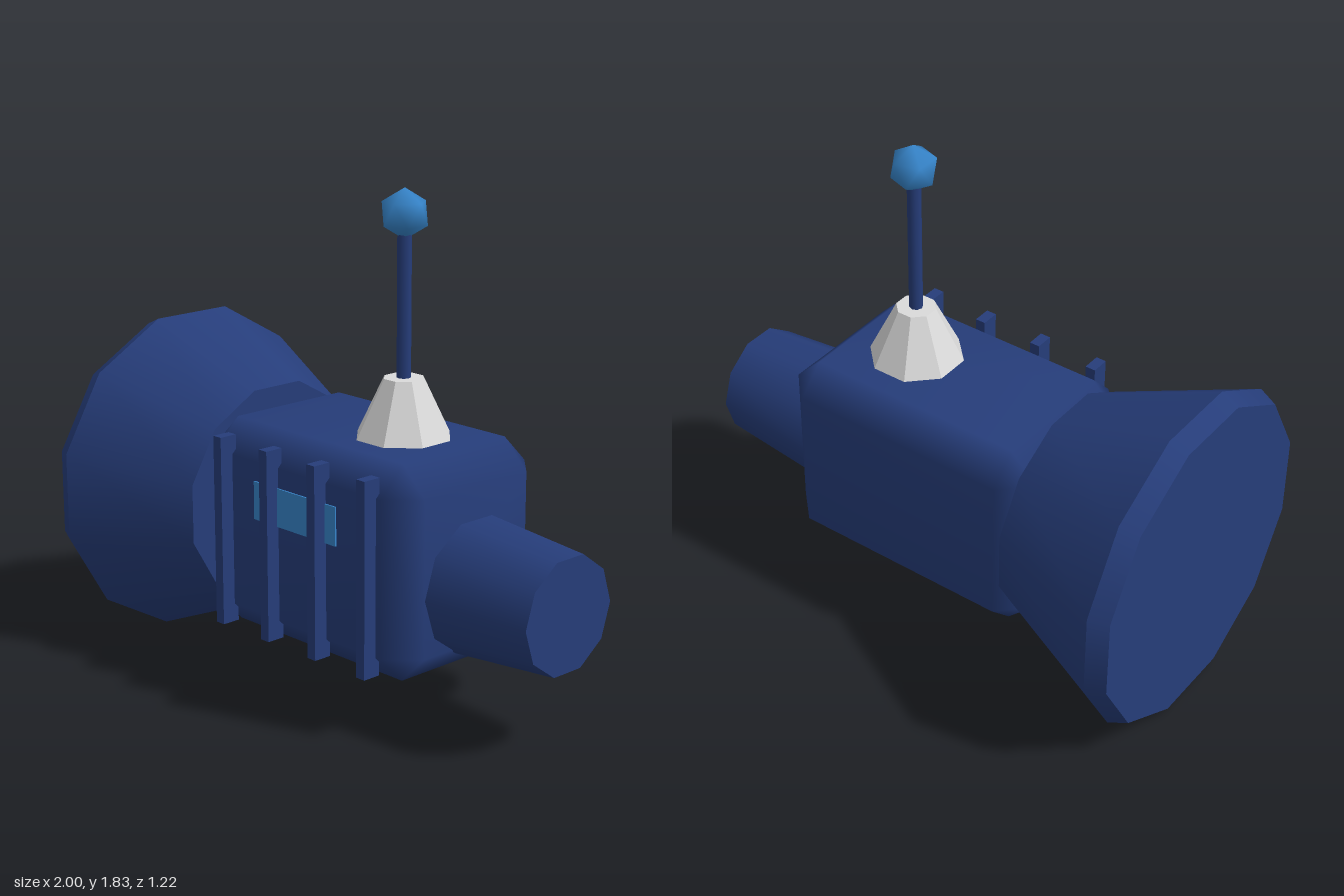
import * as THREE from 'three';
import { mergeVertices } from 'three/addons/utils/BufferGeometryUtils.js';
import { ConvexGeometry } from 'three/addons/geometries/ConvexGeometry.js';

const navy = new THREE.MeshStandardMaterial({ color: 0x263d7a });
navy.name = 'navy';
const skyBlue = new THREE.MeshStandardMaterial({ color: 0x3786cc });
skyBlue.name = 'skyBlue';
const paleGrey = new THREE.MeshStandardMaterial({ color: 0xdadada });
paleGrey.name = 'paleGrey';

// Convex solid with smooth normals
function smoothHull(points) {
  const g = new ConvexGeometry(points);
  g.deleteAttribute('normal');
  const merged = mergeVertices(g, 1e-4);
  merged.computeVertexNormals();
  return merged;
}

// Box with every edge cut at 45 degrees
function chamferedBox(w, h, d, c) {
  const pts = [];
  for (const x of [-1, 1]) for (const y of [-1, 1]) for (const z of [-1, 1]) {
    for (const [a, b, e] of [[0, c, c], [c, 0, c], [c, c, 0]]) {
      pts.push(new THREE.Vector3(x * (w / 2 - a), y * (h / 2 - b), z * (d / 2 - e)));
    }
  }
  return smoothHull(pts);
}

// Twelve-cornered ball standing on a corner
function ball(r) {
  const pts = [new THREE.Vector3(0, r, 0), new THREE.Vector3(0, -r, 0)];
  for (let i = 0; i < 5; i++) {
    const a = (i * Math.PI * 2) / 5;
    for (const s of [1, -1]) {
      pts.push(new THREE.Vector3(s * Math.cos(a), s * 0.5, s * Math.sin(a)).multiplyScalar(r * 0.8944).setY(s * r * 0.4472));
    }
  }
  return smoothHull(pts);
}

// Tapered cylinder lying along x, from x0 to x1
function frustumX(x0, r0, x1, r1, sides, turn, open) {
  const g = new THREE.CylinderGeometry(r1, r0, x1 - x0, sides, 1, open);
  g.rotateY(turn);
  g.rotateZ(-Math.PI / 2);
  g.translate((x0 + x1) / 2, 0, 0);
  return g;
}

export function createModel() {
  const model = new THREE.Group();
  model.name = 'spaceModule';

  const add = (name, geometry, material, x = 0, y = 0, z = 0, parent = model) => {
    const mesh = new THREE.Mesh(geometry, material);
    mesh.name = name;
    mesh.position.set(x, y, z);
    parent.add(mesh);
    return mesh;
  };

  // Main hull
  add('hull', chamferedBox(1.055, 0.772, 0.705, 0.105), navy, 0.052, 0.578, 0);

  // Twelve-sided flared bell with a bevelled rear rim
  const bell = new THREE.Group();
  bell.name = 'bell';
  bell.position.y = 0.61;
  model.add(bell);
  const k = 1 / Math.cos(Math.PI / 12);
  add('bellFlare', frustumX(-0.93, 0.61 * k, -0.44, 0.41 * k, 12, Math.PI / 12, true), navy, 0, 0, 0, bell);
  add('bellRim', frustumX(-1, 0.58 * k, -0.93, 0.61 * k, 12, Math.PI / 12, true), navy, 0, 0, 0, bell);
  const capAngle = Math.PI / 12;
  const rearCap = add('bellRearCap', new THREE.CircleGeometry(0.58 * k, 12, capAngle), navy, -1, 0, 0, bell);
  rearCap.rotation.y = -Math.PI / 2;
  const frontCap = add('bellFrontCap', new THREE.CircleGeometry(0.41 * k, 12, capAngle), navy, -0.44, 0, 0, bell);
  frontCap.rotation.y = Math.PI / 2;

  // Ten-sided nose
  add('nose', frustumX(0.56, 0.247, 1, 0.21, 10, 0, false), navy, 0, 0.506, 0);

  // Upright ribs and window on the front side
  for (let i = 0; i < 4; i++) {
    add('rib' + (i + 1), new THREE.BoxGeometry(0.04, 0.7, 0.07), navy, -0.302 + i * 0.245, 0.58, 0.37);
  }
  add('window', new THREE.BoxGeometry(0.42, 0.14, 0.009), skyBlue, 0.05, 0.718, 0.354);

  // Antenna on an eight-sided base
  const antenna = new THREE.Group();
  antenna.name = 'antenna';
  antenna.position.x = 0.225;
  model.add(antenna);
  const base = new THREE.CylinderGeometry(0.073, 0.176, 0.212, 8).toNonIndexed();
  base.rotateY(Math.PI / 8);
  base.computeVertexNormals();
  add('antennaBase', base, paleGrey, 0, 1.067, 0, antenna);
  add('antennaPole', new THREE.CylinderGeometry(0.025, 0.025, 0.54, 8), navy, 0, 1.43, 0, antenna);
  add('antennaBall', ball(0.089), skyBlue, 0, 1.743, 0, antenna);

  return model;
}
